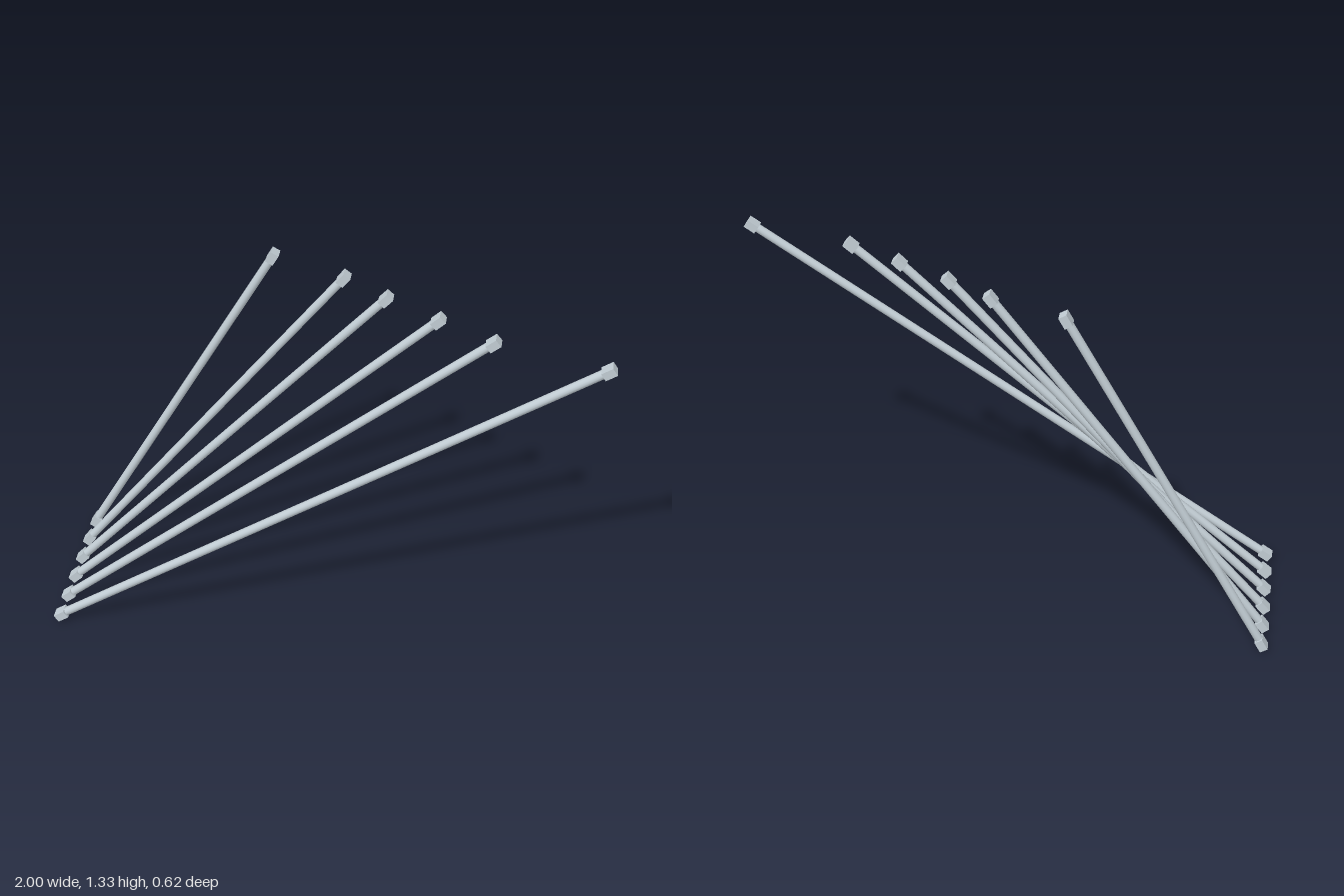
import * as THREE from 'three';

export function createModel() {
  const group = new THREE.Group();
  const steel = new THREE.MeshStandardMaterial({ color: 0xc2cdd4 });
  steel.name = 'pale steel';

  const baseX = -0.972, baseY = 0.0265, topY = 1.304;
  const topX = [-0.241, 0.03, 0.193, 0.386, 0.583, 0.972]; // rear to front
  const blockGeometry = new THREE.BoxGeometry(0.031, 0.045, 0.043);

  topX.forEach((x, i) => {
    const dx = x - baseX, dy = topY - baseY;
    const length = Math.hypot(dx, dy);

    // Each brace is built upright, then leaned towards +x
    const brace = new THREE.Group();
    brace.name = `brace${i + 1}`;
    brace.position.set((x + baseX) / 2, (topY + baseY) / 2, -0.2875 + i * 0.115);
    brace.rotation.z = -Math.atan2(dx, dy);

    // Smooth round rod
    const rod = new THREE.Mesh(new THREE.CylinderGeometry(0.016, 0.016, length, 12), steel);
    rod.name = 'rod';
    brace.add(rod);

    // Block at each end
    for (const [name, side] of [['lowerBlock', -1], ['upperBlock', 1]]) {
      const block = new THREE.Mesh(blockGeometry, steel);
      block.name = name;
      block.position.y = side * length / 2;
      brace.add(block);
    }
    group.add(brace);
  });
  return group;
}
